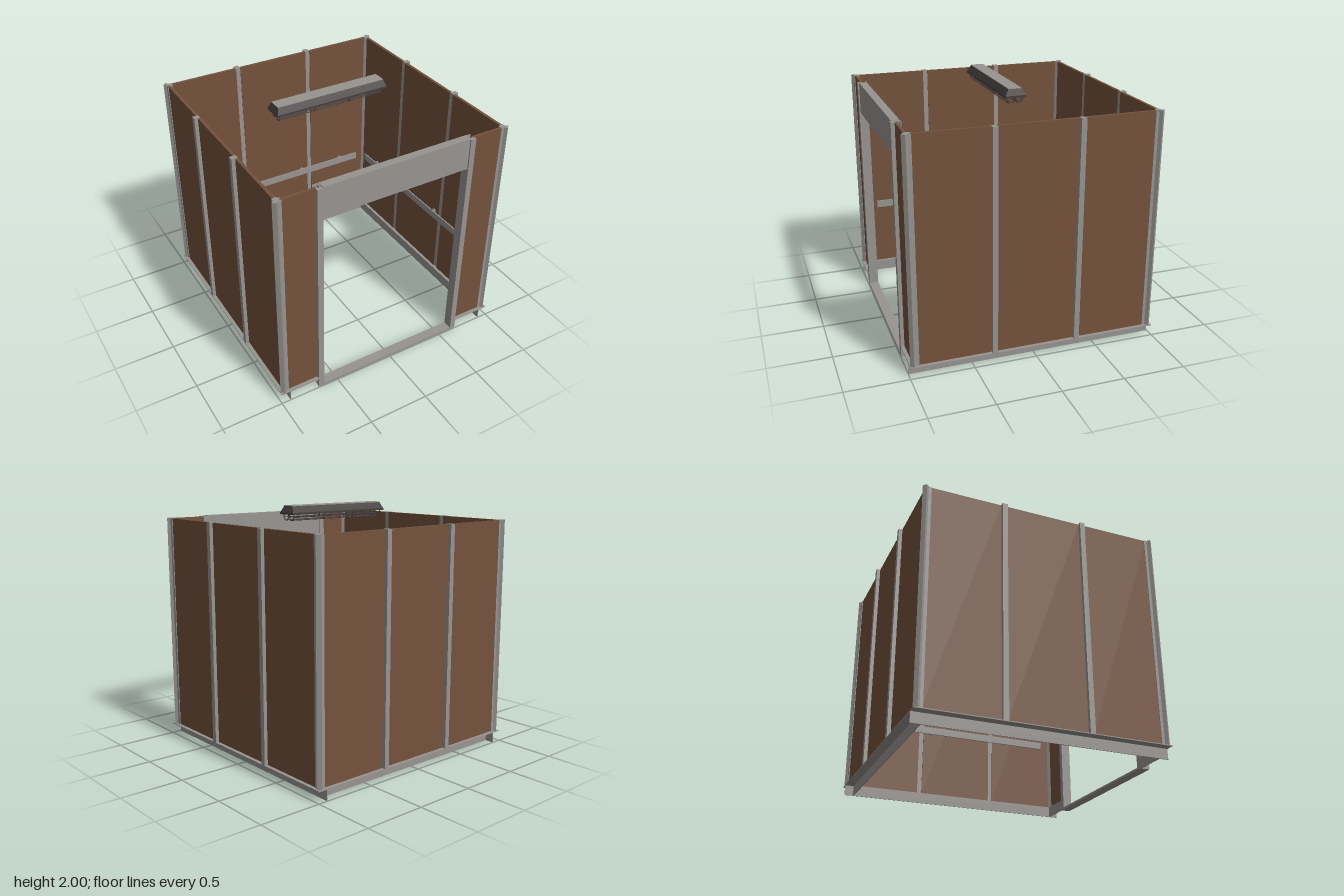
import * as THREE from 'three';

const steel = new THREE.MeshStandardMaterial({ color: 0x979490 });
steel.name = 'brushed steel';
const brown = new THREE.MeshStandardMaterial({ color: 0x74523c });
brown.name = 'brown panel';
const dark = new THREE.MeshStandardMaterial({ color: 0x463f40 });
dark.name = 'dark housing';
const black = new THREE.MeshStandardMaterial({ color: 0x1c1c1c });
black.name = 'black button';

// Box given by its lower and upper limits on each axis
function box(parent, name, mat, [x0, x1], [y0, y1], [z0, z1]) {
  const m = new THREE.Mesh(new THREE.BoxGeometry(x1 - x0, y1 - y0, z1 - z0), mat);
  m.position.set((x0 + x1) / 2, (y0 + y1) / 2, (z0 + z1) / 2);
  m.name = name;
  parent.add(m);
  return m;
}

function rod(parent, name, mat, a, b, r, sides = 6) {
  const from = new THREE.Vector3(...a), dir = new THREE.Vector3(...b).sub(from);
  const m = new THREE.Mesh(new THREE.CylinderGeometry(r, r, dir.length(), sides), mat);
  m.position.copy(from).addScaledVector(dir, 0.5);
  m.quaternion.setFromUnitVectors(new THREE.Vector3(0, 1, 0), dir.normalize());
  m.name = name;
  parent.add(m);
}

const FLOOR = 0.09, TOP = 1.872;

// Angle-section skirting: upright inner plate and outward ledge under the panels
function skirting(parent, x0, x1, inset = 0) {
  box(parent, 'skirtingPlate', steel, [x0, x1], [0, FLOOR], [0.917, 0.924]);
  box(parent, 'skirtingLedge', steel, [x0 - inset, x1 + inset], [FLOOR - 0.007, FLOOR], [0.92, 0.995]);
}

// Full wall, built facing +z: three panels, two posts, skirting and handrail
function createWall(name, skirtHalf) {
  const g = new THREE.Group();
  g.name = name;
  skirting(g, -skirtHalf, skirtHalf);
  for (const [x0, x1] of [[-0.935, -0.355], [-0.315, 0.315], [0.355, 0.935]])
    box(g, 'wallPanel', brown, [x0, x1], [FLOOR, TOP], [0.942, 0.966]);
  for (const x of [-0.335, 0.335])
    box(g, 'wallPost', steel, [x - 0.021, x + 0.021], [FLOOR, TOP + 0.002], [0.946, 0.995]);
  box(g, 'handrail', steel, [-0.835, 0.835], [0.64, 0.702], [0.897, 0.908]);
  for (const x of [-0.67, -0.25, 0.25, 0.67]) {
    rod(g, 'handrailBracket', steel, [x, 0.67, 0.907], [x, 0.67, 0.943], 0.009, 12);
    rod(g, 'bracketFlange', steel, [x, 0.67, 0.932], [x, 0.67, 0.943], 0.022, 16);
  }
  return g;
}

function createFront() {
  const g = new THREE.Group();
  g.name = 'frontWall';
  for (const s of [-1, 1]) {
    const span = (a, b) => (s > 0 ? [a, b] : [-b, -a]);
    skirting(g, ...span(0.66, 0.917));
    box(g, 'frontPanel', brown, span(0.655, 0.935), [FLOOR, TOP], [0.945, 0.966]);
    // Channel-shaped door jamb
    box(g, 'doorJambFace', steel, span(0.62, 0.667), [0, TOP + 0.003], [0.965, 0.995]);
    box(g, 'doorJambReturn', steel, span(0.62, 0.632), [0, TOP + 0.003], [0.917, 0.965]);
    box(g, 'doorJambInner', steel, span(0.632, 0.667), [0, TOP + 0.003], [0.917, 0.926]);
  }
  box(g, 'doorHeader', steel, [-0.62, 0.62], [1.622, 1.88], [0.922, 0.985]);
  box(g, 'doorSill', steel, [-0.665, 0.665], [0, 0.018], [0.917, 0.995]);

  // Control plate on the inner face
  box(g, 'controlPlate', steel, [-0.89, -0.72], [0.58, 0.94], [0.932, 0.945]);
  for (const y of [0.735, 0.785]) {
    box(g, 'buttonSurround', black, [-0.835, -0.775], [y - 0.02, y + 0.02], [0.929, 0.932]);
    box(g, 'button', steel, [-0.827, -0.783], [y - 0.013, y + 0.013], [0.926, 0.929]);
  }
  return g;
}

// Corner post: diagonal core with two outer cover strips
function createCorner(sx, sz) {
  const g = new THREE.Group();
  g.name = 'cornerPost';
  const core = box(g, 'cornerCore', steel, [-0.018, 0.018], [FLOOR, TOP + 0.003], [-0.033, 0.033]);
  core.position.x = core.position.z = 0.956;
  core.rotation.y = Math.PI / 4;
  box(g, 'cornerStripFront', steel, [0.922, 0.968], [FLOOR, TOP], [0.95, 0.972]);
  box(g, 'cornerStripSide', steel, [0.95, 0.972], [FLOOR, TOP], [0.922, 0.968]);
  g.rotation.y = Math.atan2(sx, sz) - Math.PI / 4;
  return g;
}

// Ceiling lamp: tapered housing, top plate and wire guards
function createLamp() {
  const g = new THREE.Group();
  g.name = 'ceilingLamp';
  const geo = new THREE.BoxGeometry(0.97, 0.05, 0.162);
  const p = geo.attributes.position;
  for (let i = 0; i < p.count; i++)
    if (p.getY(i) > 0) p.setXYZ(i, p.getX(i) * 0.965, p.getY(i), p.getZ(i) * 0.66);
  geo.computeVertexNormals();
  const housing = new THREE.Mesh(geo, dark);
  housing.name = 'lampHousing';
  housing.position.y = 1.97;
  g.add(housing);
  box(g, 'lampRim', dark, [-0.487, 0.487], [1.93, 1.946], [-0.081, 0.081]);
  box(g, 'lampTopPlate', steel, [-0.468, 0.468], [1.994, 2], [-0.053, 0.053]);
  for (const z of [-0.035, 0.035]) {
    const hoop = [[-0.028, 1.932], [-0.028, 1.908], [-0.014, 1.886], [0.014, 1.886], [0.028, 1.908], [0.028, 1.932]];
    for (const x of [-0.462, -0.155, 0.155, 0.462])
      for (let i = 0; i < 5; i++)
        rod(g, 'guardHoop', dark, [x, hoop[i][1], z + hoop[i][0]], [x, hoop[i + 1][1], z + hoop[i + 1][0]], 0.004);
    for (const [dz, y] of hoop.slice(1, 5))
      rod(g, 'guardWire', dark, [-0.466, y, z + dz], [0.466, y, z + dz], 0.003);
  }
  return g;
}

export function createModel() {
  const model = new THREE.Group();
  model.name = 'liftCabin';

  const back = createWall('backWall', 0.917);
  back.rotation.y = Math.PI;
  const left = createWall('leftWall', 0.995);
  left.rotation.y = Math.PI / 2;
  const right = createWall('rightWall', 0.995);
  right.rotation.y = -Math.PI / 2;
  model.add(back, left, right, createFront());

  for (const sx of [-1, 1]) for (const sz of [-1, 1]) model.add(createCorner(sx, sz));
  model.add(createLamp());
  return model;
}
